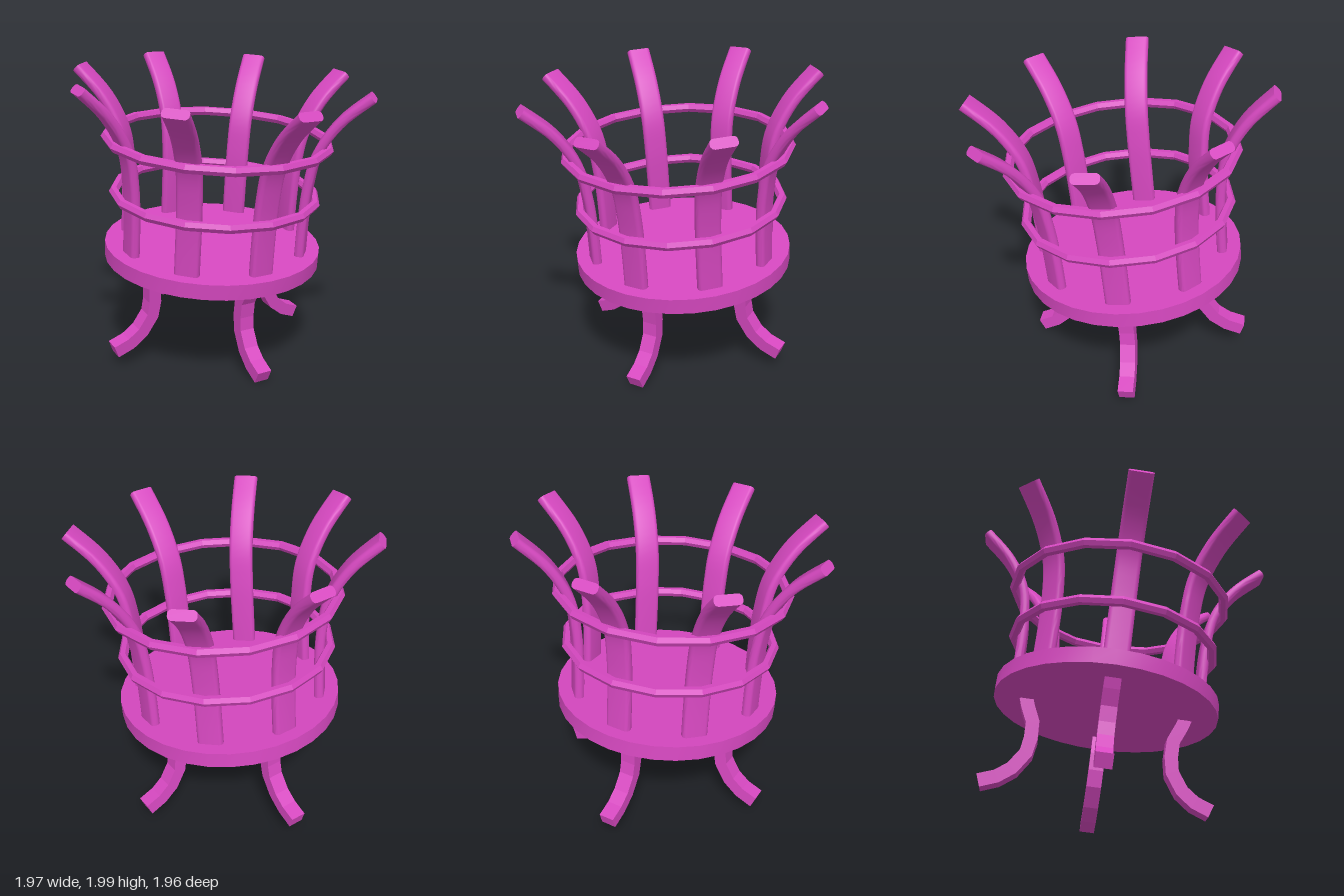
import * as THREE from 'three';
import { toCreasedNormals } from 'three/addons/utils/BufferGeometryUtils.js';

const material = new THREE.MeshStandardMaterial({ color: 0xd648c0 });

// Sweeps a closed section [across, sideways] along a path of Vector2 (radius, height), with end caps.
function sweep(path, section, crease) {
  const pos = [], index = [], n = section.length, last = path.length - 1;
  path.forEach((p, i) => {
    const t = path[Math.min(i + 1, last)].clone().sub(path[Math.max(i - 1, 0)]).normalize();
    for (const [a, b] of section) pos.push(p.x + t.y * a, p.y - t.x * a, b);
  });
  for (let i = 0; i < last; i++) {
    for (let j = 0; j < n; j++) {
      const a = i * n + j, b = i * n + (j + 1) % n;
      index.push(a, b, b + n, a, b + n, a + n);
    }
  }
  for (let j = 1; j < n - 1; j++) {
    index.push(0, j + 1, j, last * n, last * n + j, last * n + j + 1);
  }
  const geo = new THREE.BufferGeometry();
  geo.setAttribute('position', new THREE.Float32BufferAttribute(pos, 3));
  geo.setIndex(index);
  return toCreasedNormals(geo, crease);
}

// Flat bar section with rounded corners, ordered from sideways towards outward.
function roundedSection(halfThick, halfWide, r, steps) {
  const pts = [];
  for (let q = 0; q < 4; q++) {
    for (let s = 0; s <= steps; s++) {
      const ang = (q + s / steps) * Math.PI / 2;
      const sa = q < 2 ? 1 : -1, sb = q === 0 || q === 3 ? 1 : -1;
      pts.push([sa * (halfThick - r) + Math.sin(ang) * r, sb * (halfWide - r) + Math.cos(ang) * r]);
    }
  }
  return pts;
}

const toPoints = (list) => list.map(([x, y]) => new THREE.Vector2(x, y));

export function createModel() {
  const model = new THREE.Group();
  model.name = 'fireBasket';

  // The whole basket leans towards the front
  const basket = new THREE.Group();
  basket.name = 'tiltedBasket';
  basket.position.set(0, 0.74, -0.115);
  basket.rotation.x = 0.107;
  model.add(basket);

  const add = (name, geo, angle = 0, y = 0) => {
    const mesh = new THREE.Mesh(geo, material);
    mesh.name = name;
    mesh.rotation.y = angle;
    mesh.position.y = y;
    basket.add(mesh);
  };

  // Base plate
  add('basePlate', toCreasedNormals(new THREE.CylinderGeometry(0.725, 0.725, 0.1, 32), 0.6));

  // Eight flat bars flaring outward at the top
  const barCurve = new THREE.SplineCurve(toPoints([
    [0.605, 0], [0.605, 0.28], [0.617, 0.52], [0.66, 0.75], [0.785, 0.965], [0.965, 1.14],
  ]));
  const barGeo = sweep(barCurve.getPoints(24), roundedSection(0.031, 0.08, 0.025, 4), 0.8);
  for (let i = 0; i < 8; i++) add('bar' + (i + 1), barGeo, i * Math.PI / 4);

  // Two faceted hoops around the bars
  for (const [name, radius, y] of [['lowerHoop', 0.67, 0.397], ['upperHoop', 0.725, 0.769]]) {
    const hoop = new THREE.TorusGeometry(radius, 0.032, 6, 16);
    hoop.rotateX(Math.PI / 2);
    add(name, toCreasedNormals(hoop, 0.1), 0, y);
  }

  // Four curved square legs
  const legPath = toPoints([
    [0.515, -0.04], [0.495, -0.1], [0.45, -0.2], [0.445, -0.31],
    [0.46, -0.41], [0.53, -0.52], [0.615, -0.585], [0.72, -0.625],
  ]);
  const legSection = [[0.043, 0.05], [0.043, -0.05], [-0.043, -0.05], [-0.043, 0.05]];
  const legGeo = sweep(legPath, legSection, 0.1);
  for (let i = 0; i < 4; i++) add('leg' + (i + 1), legGeo, i * Math.PI / 2);

  return model;
}
